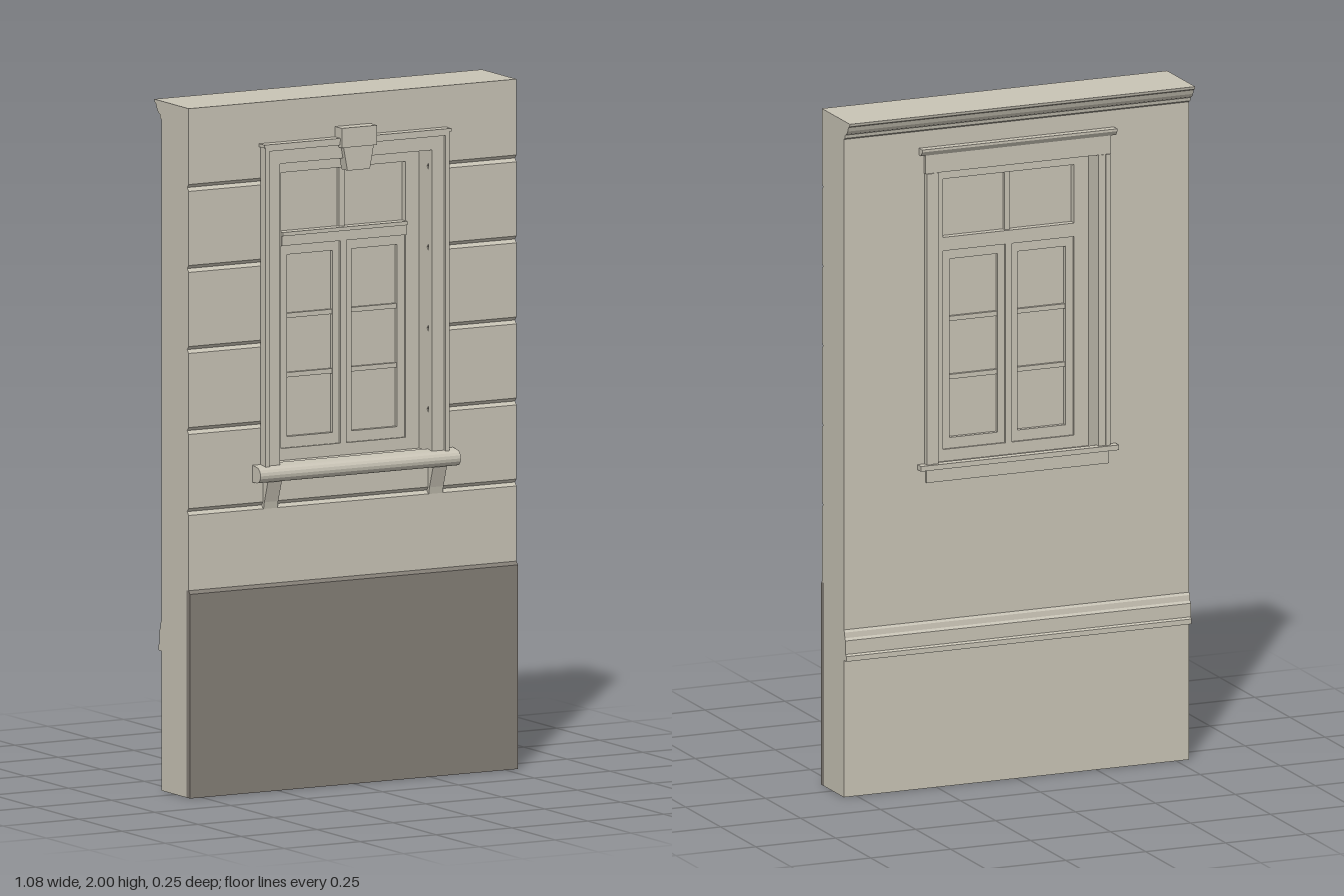
import * as THREE from 'three';

const stone = new THREE.MeshStandardMaterial({ color: 0xc8c3b5 });
stone.name = 'warm stone';
const plinthGrey = new THREE.MeshStandardMaterial({ color: 0x847e76 });
plinthGrey.name = 'plinth grey';

const FRONT = 0.077, BACK = -0.08, HALF = 0.54;
const OPEN_X = 0.25, OPEN_Y0 = 0.945, OPEN_Y1 = 1.82;
const GROOVES = [0.83, 1.065, 1.3, 1.535, 1.77];

export function createModel() {
  const model = new THREE.Group();
  model.name = 'wallWithWindow';

  const group = (name) => {
    const g = new THREE.Group();
    g.name = name;
    model.add(g);
    return g;
  };
  const add = (parent, name, geometry, material = stone) => {
    const mesh = new THREE.Mesh(geometry, material);
    mesh.name = name;
    parent.add(mesh);
    return mesh;
  };
  // Box given by its limits
  const box = (parent, name, x0, x1, y0, y1, z0, z1) => {
    const g = new THREE.BoxGeometry(x1 - x0, y1 - y0, z1 - z0);
    g.translate((x0 + x1) / 2, (y0 + y1) / 2, (z0 + z1) / 2);
    return add(parent, name, g);
  };
  const boxPair = (parent, name, x0, x1, ...rest) => {
    box(parent, name + 'Left', x0, x1, ...rest);
    box(parent, name + 'Right', -x1, -x0, ...rest);
  };
  // Side profile of [z, y] points, run along x
  const run = (parent, name, x0, x1, points, material) => {
    const shape = new THREE.Shape(points.map(([z, y]) => new THREE.Vector2(z, y)));
    const g = new THREE.ExtrudeGeometry(shape, { depth: x1 - x0, bevelEnabled: false });
    g.rotateY(-Math.PI / 2).translate(x1, 0, 0);
    return add(parent, name, g, material);
  };

  // Wall: piers, breast and lintel, with V joints on the front
  const wallProfile = (y0, y1) => {
    const p = [[BACK, y0]];
    if (y0 === 0) p.push([0.063, 0], [0.063, 0.6], [FRONT, 0.6]);
    else p.push([FRONT, y0]);
    for (const y of GROOVES) {
      if (y > y0 && y < y1) p.push([FRONT, y - 0.01], [FRONT - 0.009, y], [FRONT, y + 0.01]);
    }
    p.push([FRONT, y1], [BACK, y1]);
    return p;
  };
  const wall = group('wall');
  run(wall, 'pierRight', -HALF, -OPEN_X, wallProfile(0, 2));
  run(wall, 'pierLeft', OPEN_X, HALF, wallProfile(0, 2));
  run(wall, 'breast', -OPEN_X, OPEN_X, wallProfile(0, OPEN_Y0));
  run(wall, 'lintel', -OPEN_X, OPEN_X, wallProfile(OPEN_Y1, 2));

  // Plinth with chamfered top
  run(model, 'plinth', -HALF, HALF,
    [[0.063, 0], [0.084, 0], [0.084, 0.592], [FRONT, 0.602], [0.063, 0.6]], plinthGrey);

  // Mouldings on the back
  run(model, 'cornice', -HALF, HALF, [[BACK, 1.945], [BACK, 2], [-0.123, 2], [-0.121, 1.992],
    [-0.113, 1.988], [-0.108, 1.975], [-0.1, 1.965], [-0.09, 1.96], [-0.088, 1.95]]);
  run(model, 'dadoRail', -HALF, HALF, [[BACK, 0.405], [BACK, 0.495], [-0.085, 0.488],
    [-0.087, 0.472], [-0.092, 0.465], [-0.092, 0.425], [-0.098, 0.42], [-0.098, 0.405]]);

  // Front surround
  const surround = group('frontSurround');
  boxPair(surround, 'jambBoard', OPEN_X, 0.292, OPEN_Y0, 1.86, FRONT, 0.097);
  boxPair(surround, 'jambEdge', 0.29, 0.303, OPEN_Y0, 1.866, FRONT, 0.106);
  box(surround, 'headBoard', -OPEN_X, OPEN_X, OPEN_Y1, 1.86, FRONT, 0.097);
  box(surround, 'headEdge', -0.303, 0.303, 1.86, 1.873, FRONT, 0.106);
  box(surround, 'headCap', -0.308, 0.308, 1.871, 1.88, FRONT, 0.108);

  // Keystone: tapered block under a square cap
  const keystone = group('keystone');
  const keyShape = new THREE.Shape([[-0.037, 1.785], [0.037, 1.785], [0.05, 1.855], [-0.05, 1.855]]
    .map(([x, y]) => new THREE.Vector2(x, y)));
  const keyBlock = new THREE.ExtrudeGeometry(keyShape, { depth: 0.035, bevelEnabled: false });
  add(keystone, 'keystoneBlock', keyBlock.translate(0, 0, FRONT));
  box(keystone, 'keystoneCap', -0.058, 0.058, 1.853, 1.91, FRONT, 0.116);

  // Front sill with rounded nose, on two brackets
  const sill = group('frontSill');
  const nose = [[0.07, 0.9]];
  for (let i = 0; i <= 8; i++) {
    const a = -Math.PI / 2 + (i / 8) * Math.PI;
    nose.push([0.101 + 0.023 * Math.cos(a), 0.923 + 0.023 * Math.sin(a)]);
  }
  nose.push([0.07, 0.95]);
  run(sill, 'sill', -0.33, 0.33, nose);
  for (const s of [-1, 1]) {
    run(sill, s > 0 ? 'bracketLeft' : 'bracketRight', s * 0.272 - 0.023, s * 0.272 + 0.023,
      [[FRONT - 0.01, 0.82], [0.08, 0.82], [0.084, 0.84], [0.105, 0.902], [FRONT - 0.01, 0.902]]);
  }

  // Back surround
  const rear = group('backSurround');
  boxPair(rear, 'backJamb', OPEN_X, 0.282, 0.955, 1.82, -0.094, BACK);
  boxPair(rear, 'backJambEdge', 0.272, 0.287, 0.955, 1.82, -0.097, BACK);
  box(rear, 'backHead', -0.29, 0.29, OPEN_Y1, 1.88, -0.092, BACK);
  run(rear, 'backHeadCap', -0.305, 0.305,
    [[BACK, 1.875], [BACK, 1.895], [-0.104, 1.895], [-0.104, 1.888], [-0.095, 1.875]]);
  box(rear, 'backSill', -0.31, 0.31, 0.945, 0.96, -0.105, BACK);
  box(rear, 'backApron', -0.285, 0.285, 0.905, 0.946, -0.089, BACK);

  // Fixed window frame
  const frame = group('windowFrame');
  boxPair(frame, 'frameJamb', 0.205, OPEN_X, OPEN_Y0, OPEN_Y1, -0.022, 0.022);
  box(frame, 'frameHead', -0.205, 0.205, 1.78, OPEN_Y1, -0.022, 0.022);
  box(frame, 'frameFoot', -0.205, 0.205, OPEN_Y0, 0.98, -0.022, 0.022);
  box(frame, 'transom', -0.205, 0.205, 1.568, 1.597, -0.025, 0.027);
  box(frame, 'transomDrip', -0.205, 0.205, 1.597, 1.608, -0.025, 0.033);
  box(frame, 'glass', -0.205, 0.205, 0.98, 1.78, -0.003, 0.003);
  box(frame, 'topMullion', -0.009, 0.009, 1.605, 1.78, -0.015, 0.015);

  // Two casements with glazing bars
  const sashes = group('casements');
  boxPair(sashes, 'outerStile', 0.181, 0.205, 0.98, 1.568, -0.016, 0.016);
  boxPair(sashes, 'innerStile', 0.009, 0.031, 0.98, 1.568, -0.016, 0.016);
  boxPair(sashes, 'bottomRail', 0.031, 0.181, 0.98, 1.012, -0.016, 0.016);
  boxPair(sashes, 'topRail', 0.031, 0.181, 1.54, 1.568, -0.016, 0.016);
  for (const y of [1.19, 1.362]) {
    boxPair(sashes, 'glazingBar', 0.031, 0.181, y - 0.007, y + 0.007, -0.012, 0.012);
  }
  box(sashes, 'meetingStrip', -0.01, 0.01, 0.98, 1.568, -0.024, 0.024);

  return model;
}
